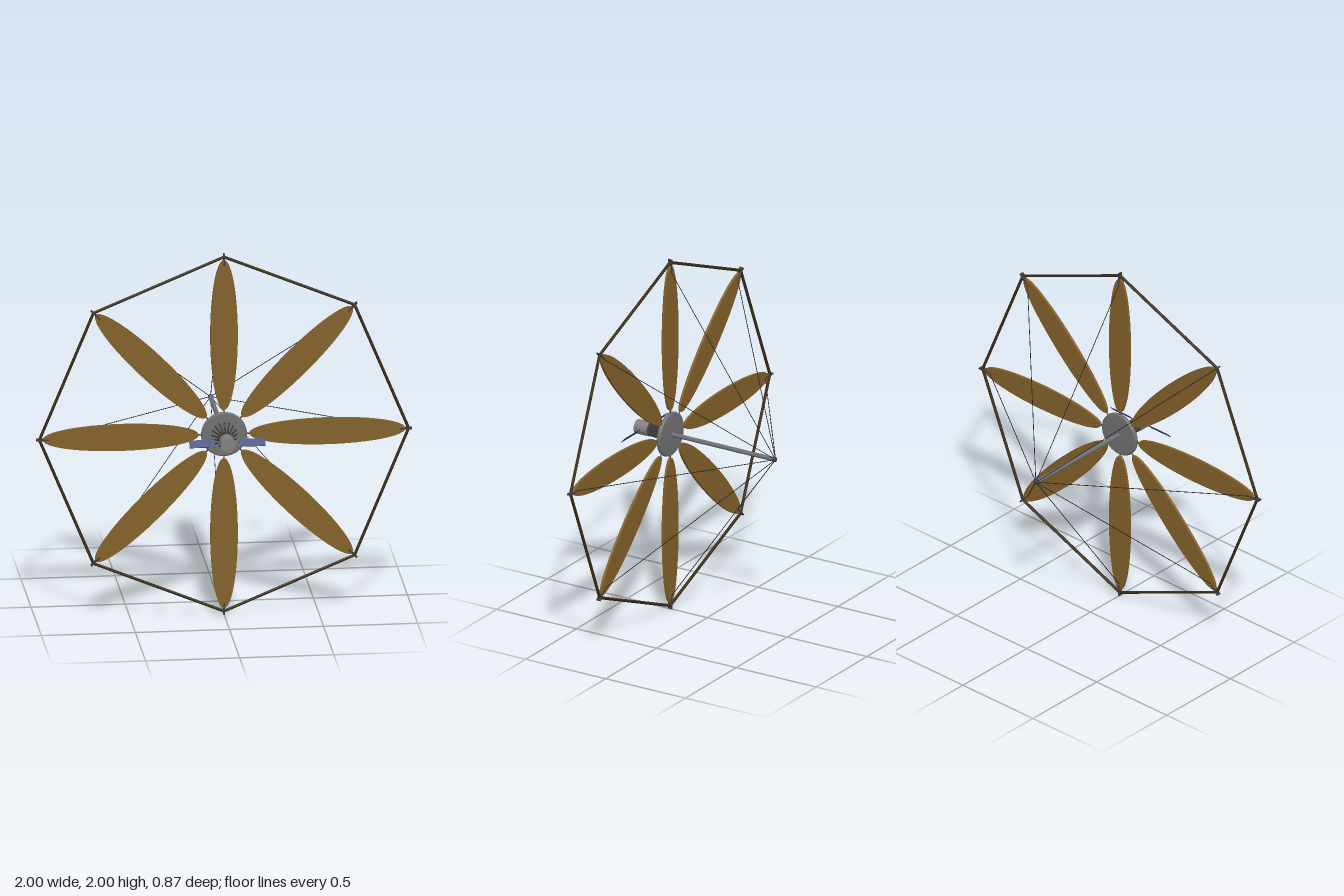
import * as THREE from 'three';

const N = 8, FRAME_Z = 0.232, CENTRE_Y = 1;
const mat = (color) => new THREE.MeshStandardMaterial({ color });

const V = (x, y, z) => new THREE.Vector3(x, y, z);

export function createModel() {
  const root = new THREE.Group();
  root.name = 'sailCraft';
  const craft = new THREE.Group();
  craft.name = 'craft';
  craft.position.y = CENTRE_Y;
  root.add(craft);

  const petalMat = mat(0x84622a), frameMat = mat(0x3a2e18), discMat = mat(0x707070);
  const darkMat = mat(0x3c3c40), greyMat = mat(0x808080), blueMat = mat(0x2c3870), wireMat = mat(0x202020);

  const add = (name, geometry, material, parent = craft) => {
    const mesh = new THREE.Mesh(geometry, material);
    mesh.name = name;
    parent.add(mesh);
    return mesh;
  };

  // Straight round bar between two points
  const bar = (name, a, b, radius, material, sides = 8, parent = craft) => {
    const dir = b.clone().sub(a);
    const mesh = add(name, new THREE.CylinderGeometry(radius, radius, dir.length(), sides), material, parent);
    mesh.position.copy(a).lerp(b, 0.5);
    mesh.quaternion.setFromUnitVectors(V(0, 1, 0), dir.normalize());
    return mesh;
  };

  // Turned part along z: profile points are [radius, z]
  const turned = (name, profile, material, sides = 32) => {
    const geo = new THREE.LatheGeometry(profile.map(([r, z]) => new THREE.Vector2(r, z)), sides);
    geo.rotateX(Math.PI / 2);
    return add(name, geo, material);
  };

  // Flat elliptical petal, pointing along +y
  const outline = new THREE.Shape();
  outline.absellipse(0, 0.549, 0.073, 0.414, 0, Math.PI * 2);
  const petalGeo = new THREE.ExtrudeGeometry(outline, { depth: 0.014, bevelEnabled: false, curveSegments: 24 });
  petalGeo.translate(0, 0, -0.007);

  // Eight arms, each with petal, spoke, corner fitting and rim bar
  const apex = V(0, 0, -0.428);
  const R = 0.981;
  const corner = (i, r) => {
    const a = (i * Math.PI * 2) / N;
    return V(r * Math.sin(a), r * Math.cos(a), FRAME_Z);
  };
  for (let i = 0; i < N; i++) {
    const arm = new THREE.Group();
    arm.name = 'arm' + (i + 1);
    arm.position.z = FRAME_Z;
    arm.rotation.z = -(i * Math.PI * 2) / N;
    craft.add(arm);
    add('petal', petalGeo, petalMat, arm);
    bar('spoke', V(0, 0.1, 0), V(0, 0.99, 0), 0.004, darkMat, 6, arm);
    add('cornerFitting', new THREE.BoxGeometry(0.008, 0.065, 0.024), darkMat, arm).position.y = 0.966;
    bar('rimBar', corner(i, R), corner(i + 1, R), 0.008, frameMat);
    bar('stayWire', corner(i, 0.935), apex, 0.002, wireMat, 5);
  }

  // Hub disc with softened rim
  turned('hubDisc', [[0, 0.218], [0.112, 0.218], [0.12, 0.223], [0.122, 0.232],
    [0.12, 0.24], [0.112, 0.245], [0, 0.245]], discMat, 40);

  // Rear mast and its tip
  bar('mast', V(0, 0, 0.225), V(0, 0, -0.425), 0.012, discMat, 16);
  turned('mastTip', [[0, -0.434], [0.01, -0.432], [0.014, -0.427], [0.014, -0.418], [0, -0.418]], darkMat, 16);

  // Ring of curved pipes joining the pod to the disc
  const PIPES = 16;
  const pipeGeo = new THREE.TubeGeometry(new THREE.CatmullRomCurve3([
    V(0.068, 0, 0.24), V(0.062, 0, 0.256), V(0.043, 0, 0.278), V(0.034, 0, 0.302), V(0.031, 0, 0.365),
  ]), 16, 0.005, 8);
  for (let i = 0; i < PIPES; i++) {
    add('pipe', pipeGeo, darkMat).rotation.z = (i * Math.PI * 2) / PIPES;
  }
  bar('podCore', V(0, 0, 0.24), V(0, 0, 0.37), 0.016, darkMat, 16);

  // Front pod
  bar('pod', V(0, 0, 0.357), V(0, 0, 0.437), 0.039, greyMat, 24);

  // Tilted panels on forked struts
  for (const s of [1, -1]) {
    const wing = new THREE.Group();
    wing.name = s > 0 ? 'leftPanel' : 'rightPanel';
    wing.position.z = 0.394;
    wing.rotation.x = -Math.PI / 4;
    craft.add(wing);
    add('panel', new THREE.BoxGeometry(0.135, 0.045, 0.004), blueMat, wing).position.x = s * 0.134;
    for (const t of [1, -1]) {
      bar('strut', V(s * 0.036, 0, 0), V(s * 0.068, t * 0.018, 0), 0.002, greyMat, 6, wing);
    }
  }
  return root;
}
